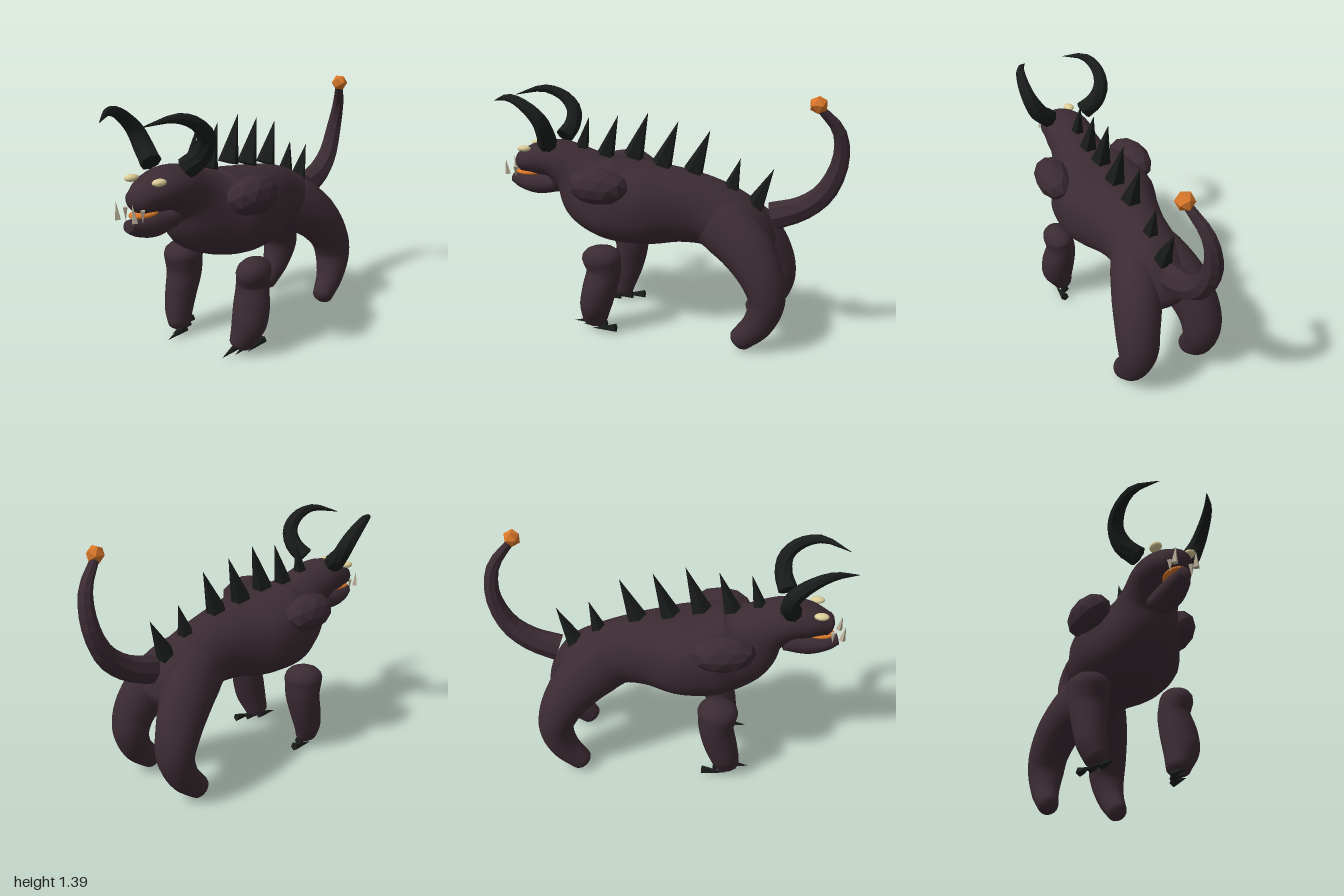
import * as THREE from 'three';

const V = (x, y, z) => new THREE.Vector3(x, y, z);
const mat = (name, color) => {
  const m = new THREE.MeshStandardMaterial({ color });
  m.name = name;
  return m;
};

// Skin swept along stations [x, y, z, halfWidth, halfHeight, squareness]; dome rounds [start, end].
function loft(stations, { sides = 24, steps = 32, dome = [0, 0], flat = false } = {}) {
  const path = new THREE.CatmullRomCurve3(stations.map(p => V(p[0], p[1], p[2])));
  const size = new THREE.CatmullRomCurve3(stations.map(p => V(p[3], p[4], p[5] ?? 1)));
  const rings = [];
  const addRing = (u, shift, scale) => {
    const t = path.getTangent(u), c = path.getPoint(u).addScaledVector(t, shift), r = size.getPoint(u);
    const side = V(1, 0, 0).addScaledVector(t, -t.x).normalize();
    rings.push({
      c, side, up: t.clone().cross(side), square: r.z,
      a: Math.max(r.x, 0.001) * scale, b: Math.max(r.y, 0.001) * scale,
    });
  };
  const round = [0.25, 0.5, 0.75, 0.97].map(k => k * Math.PI / 2);
  if (dome[0]) [...round].reverse().forEach(k => addRing(0, -dome[0] * Math.sin(k), Math.cos(k)));
  for (let i = 0; i <= steps; i++) addRing(i / steps, 0, 1);
  if (dome[1]) round.forEach(k => addRing(1, dome[1] * Math.sin(k), Math.cos(k)));

  const pos = [], idx = [];
  const bulge = (v, e) => Math.sign(v) * Math.abs(v) ** e;
  for (const r of rings) {
    for (let j = 0; j < sides; j++) {
      const a = j / sides * Math.PI * 2;
      const p = r.c.clone()
        .addScaledVector(r.side, r.a * bulge(Math.cos(a), r.square))
        .addScaledVector(r.up, r.b * bulge(Math.sin(a), r.square));
      pos.push(p.x, p.y, p.z);
    }
  }
  const last = rings.length - 1;
  for (let i = 0; i < last; i++) {
    for (let j = 0; j < sides; j++) {
      const a = i * sides + j, b = i * sides + (j + 1) % sides;
      idx.push(a, b, b + sides, a, b + sides, a + sides);
    }
  }
  // End caps
  for (const [i, front] of [[0, false], [last, true]]) {
    const c = pos.length / 3;
    pos.push(rings[i].c.x, rings[i].c.y, rings[i].c.z);
    for (let j = 0; j < sides; j++) {
      const a = i * sides + j, b = i * sides + (j + 1) % sides;
      idx.push(c, front ? a : b, front ? b : a);
    }
  }
  let g = new THREE.BufferGeometry();
  g.setAttribute('position', new THREE.Float32BufferAttribute(pos, 3));
  g.setIndex(idx);
  if (flat) g = g.toNonIndexed();
  g.computeVertexNormals();
  return g;
}

// Faceted cone running from a base point to a tip
function spike(base, tip, radius, sides) {
  const dir = tip.clone().sub(base), len = dir.length();
  const g = new THREE.ConeGeometry(radius, len, sides).toNonIndexed();
  g.computeVertexNormals();
  g.translate(0, len / 2, 0);
  g.applyQuaternion(new THREE.Quaternion().setFromUnitVectors(V(0, 1, 0), dir.normalize()));
  return g.translate(base.x, base.y, base.z);
}

export function createModel() {
  const hide = mat('hide', 0x3b2b33);
  const horn = mat('horn', 0x1a1c1c);
  const ember = mat('ember', 0xd9772a);
  const eyeTone = mat('eye', 0xdccd98);
  const ivory = mat('ivory', 0xb8ad98);

  const model = new THREE.Group();
  const add = (name, geometry, material) => {
    const m = new THREE.Mesh(geometry, material);
    m.name = name;
    model.add(m);
    return m;
  };

  // Head, neck and torso in one skin
  add('body', loft([
    [0, 0.545, -0.545, 0.16, 0.105, 1],
    [0, 0.61, -0.48, 0.18, 0.15, 1],
    [0, 0.67, -0.39, 0.195, 0.18, 1],
    [0, 0.725, -0.26, 0.185, 0.19, 1],
    [0, 0.75, -0.1, 0.215, 0.205, 0.9],
    [0, 0.75, 0.1, 0.29, 0.225, 0.83],
    [0, 0.765, 0.28, 0.285, 0.23, 0.78],
    [0, 0.81, 0.43, 0.215, 0.225, 0.82],
    [0, 0.92, 0.57, 0.15, 0.148, 1],
    [0, 0.97, 0.68, 0.145, 0.115, 1],
    [0, 0.965, 0.8, 0.125, 0.093, 1],
    [0, 0.945, 0.89, 0.08, 0.065, 1],
  ], { sides: 32, steps: 64, dome: [0.05, 0.045] }), hide);

  // Lower jaw and glowing mouth
  add('jaw', loft([
    [0, 0.825, 0.67, 0.07, 0.052], [0, 0.812, 0.8, 0.072, 0.062],
    [0, 0.822, 0.91, 0.055, 0.047], [0, 0.84, 0.97, 0.03, 0.03],
  ], { steps: 16 }), hide);
  const mouth = add('mouth', new THREE.SphereGeometry(1, 16, 10), ember);
  mouth.scale.set(0.058, 0.018, 0.085);
  mouth.position.set(0, 0.878, 0.865);

  // Front legs: the left one bows outward at the shin
  const frontLegs = {
    left: [
      [0.25, 0.48, 0.31, 0.085, 0.115],
      [0.237, 0.4, 0.303, 0.085, 0.1],
      [0.248, 0.28, 0.33, 0.1, 0.097],
      [0.248, 0.2, 0.35, 0.098, 0.093],
      [0.218, 0.09, 0.375, 0.066, 0.075],
    ],
    right: [
      [-0.24, 0.49, 0.31, 0.108, 0.115],
      [-0.242, 0.38, 0.305, 0.102, 0.1],
      [-0.245, 0.25, 0.335, 0.086, 0.095],
      [-0.24, 0.16, 0.36, 0.077, 0.085],
      [-0.225, 0.09, 0.375, 0.06, 0.075],
    ],
  };

  for (const s of [1, -1]) {
    const side = s > 0 ? 'left' : 'right';
    add(side + 'FrontLeg', loft(frontLegs[side], { dome: [0.07, 0.045] }), hide);

    // Hind leg, hip to foot
    add(side + 'HindLeg', loft([
      [s * 0.055, 0.705, -0.26, 0.11, 0.15],
      [s * 0.095, 0.665, -0.375, 0.128, 0.163],
      [s * 0.147, 0.57, -0.5, 0.132, 0.147],
      [s * 0.19, 0.43, -0.595, 0.12, 0.118],
      [s * 0.2, 0.31, -0.625, 0.11, 0.1],
      [s * 0.21, 0.18, -0.585, 0.085, 0.085],
      [s * 0.215, 0.075, -0.492, 0.062, 0.066],
    ], { steps: 40, dome: [0.08, 0.045] }), hide);

    // Three claws, stepped back toward the outside
    for (let i = 0; i < 3; i++) {
      const x = s * (0.19 + 0.033 * i), z = 0.37 - 0.07 * i;
      add(side + 'Claw' + (i + 1), spike(V(x, 0.055, z), V(x, 0.036, z + 0.145), 0.025, 5), horn);
    }

    // Faceted shoulder lump
    const lump = new THREE.IcosahedronGeometry(1, 1);
    lump.scale(0.103, 0.105, 0.18);
    lump.computeVertexNormals();
    const shoulder = add(side + 'ShoulderLump', lump, hide);
    shoulder.position.set(s * 0.252, 0.893, 0.32);
    shoulder.rotation.y = s * -0.08;

    // Horn curling out, up and forward
    add(side + 'Horn', loft([
      [s * 0.115, 1.082, 0.68, 0.058, 0.055],
      [s * 0.185, 1.145, 0.655, 0.053, 0.05],
      [s * 0.23, 1.23, 0.665, 0.046, 0.045],
      [s * 0.24, 1.305, 0.735, 0.036, 0.036],
      [s * 0.212, 1.348, 0.85, 0.023, 0.023],
      [s * 0.128, 1.315, 0.998, 0.001, 0.001],
    ], { sides: 8, steps: 14, flat: true }), horn);

    // Eye
    const eye = add(side + 'Eye', new THREE.SphereGeometry(1, 12, 8), eyeTone);
    eye.scale.set(0.03, 0.018, 0.041);
    eye.position.set(s * 0.09, 1.037, 0.845);

    // Long tusk and short fang
    add(side + 'Tusk', spike(V(s * 0.056, 0.868, 0.98), V(s * 0.053, 0.957, 0.99), 0.018, 4), ivory);
    add(side + 'Fang', spike(V(s * 0.056, 0.915, 0.928), V(s * 0.056, 0.85, 0.928), 0.015, 4), ivory);
  }

  // Back spikes: base z, base y, tip z, tip y, radius
  [
    [0.52, 1.035, 0.466, 1.23, 0.042], [0.37, 1.015, 0.29, 1.245, 0.052],
    [0.2, 1.015, 0.11, 1.27, 0.06], [0.03, 0.98, -0.065, 1.23, 0.06],
    [-0.155, 0.955, -0.247, 1.19, 0.058], [-0.37, 0.865, -0.42, 1.045, 0.048],
    [-0.505, 0.78, -0.605, 1.0, 0.056],
  ].forEach(([z, y, tz, ty, r], i) =>
    add('backSpike' + (i + 1), spike(V(0, y, z), V(0, ty, tz), r, 5), horn));

  // Faceted tail with an ember at the tip
  add('tail', loft([
    [0, 0.735, -0.61, 0.075, 0.08],
    [0, 0.79, -0.76, 0.07, 0.068],
    [0, 0.89, -0.88, 0.06, 0.058],
    [0.005, 1.07, -0.95, 0.048, 0.045],
    [0.04, 1.23, -0.935, 0.036, 0.034],
    [0.1, 1.36, -0.83, 0.022, 0.02],
  ], { sides: 8, steps: 14, flat: true }), hide);
  add('tailEmber', new THREE.IcosahedronGeometry(0.049, 0), ember).position.set(0.102, 1.37, -0.83);

  return model;
}
